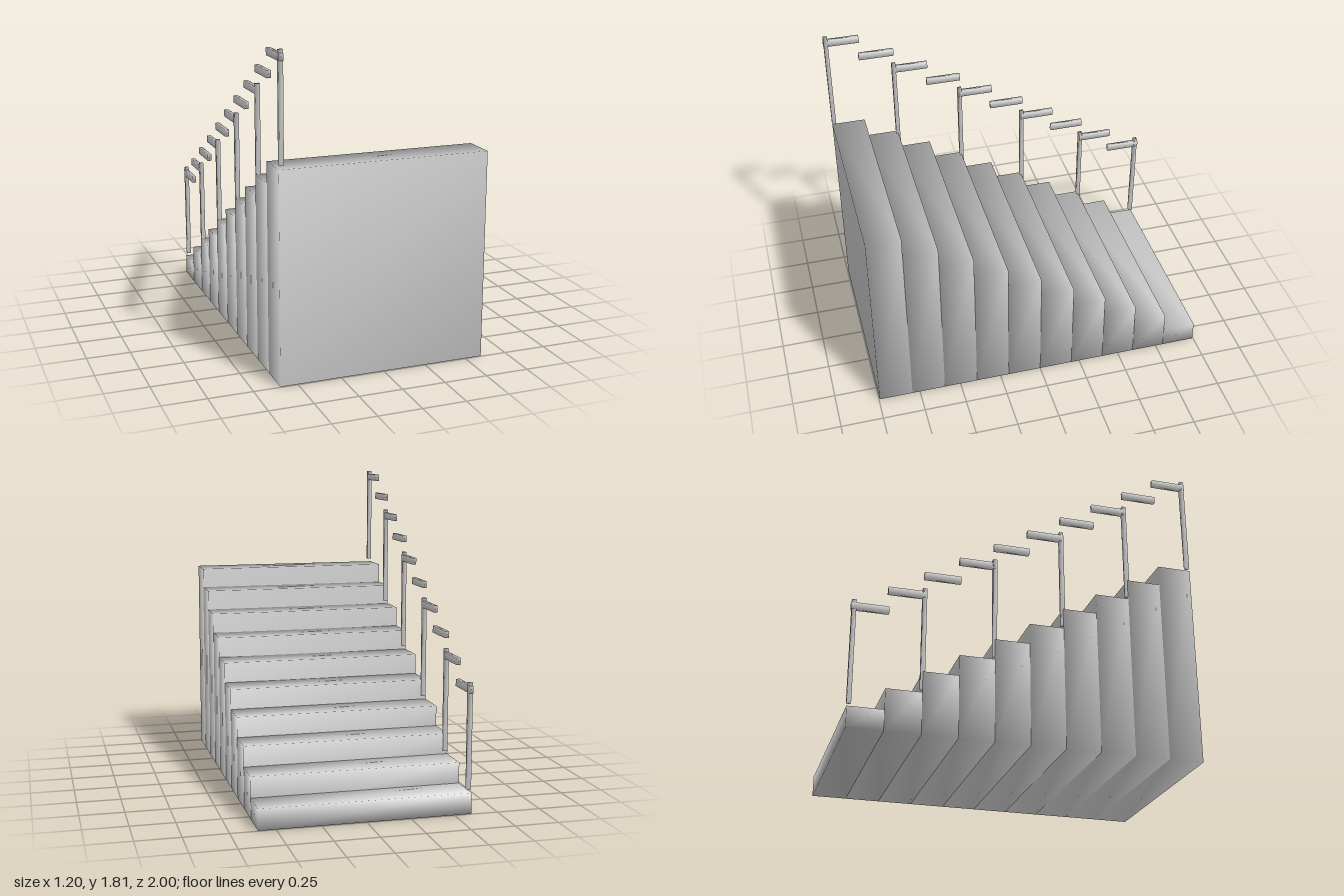
import * as THREE from 'three';
import { mergeVertices } from 'three/addons/utils/BufferGeometryUtils.js';

const STEPS = 10;
const RUN = 0.199;      // depth of one tread
const RISE = 0.1194;    // height of one riser
const WIDTH = 1.196;
const RAIL_X = -0.582;

const material = new THREE.MeshStandardMaterial({ color: 0xcccccc });

// Box whose corners share one smooth normal
function softBox(w, h, d) {
  const box = new THREE.BoxGeometry(w, h, d);
  box.deleteAttribute('normal');
  box.deleteAttribute('uv');
  const geometry = mergeVertices(box);
  geometry.computeVertexNormals();
  return geometry;
}

function addBox(parent, name, size, position) {
  const mesh = new THREE.Mesh(softBox(...size), material);
  mesh.name = name;
  mesh.position.set(...position);
  parent.add(mesh);
}

export function createModel() {
  const model = new THREE.Group();
  model.name = 'staircase';
  const steps = new THREE.Group();
  steps.name = 'steps';
  const railing = new THREE.Group();
  railing.name = 'railing';
  model.add(steps, railing);

  // Solid steps rising from back to front, each with its own rail segment
  for (let i = 0; i < STEPS; i++) {
    const z = (i - (STEPS - 1) / 2) * RUN;
    const height = (i + 1) * RISE;
    addBox(steps, `step${i + 1}`, [WIDTH, height, RUN], [0, height / 2, z]);
    addBox(railing, `railSegment${i + 1}`, [0.024, 0.04, 0.208],
      [RAIL_X, height + 0.58, z]);
  }

  // Posts on every second step edge, plus one at the foot and one at the head
  const post = (level, z) => addBox(railing, `post${level}`, [0.024, 0.597, 0.024],
    [RAIL_X, level * RISE + 0.021 + 0.2985, z]);
  post(1, -0.983);
  for (let level = 2; level < STEPS; level += 2) post(level, (level - STEPS / 2) * RUN);
  post(STEPS, 0.985);

  return model;
}
